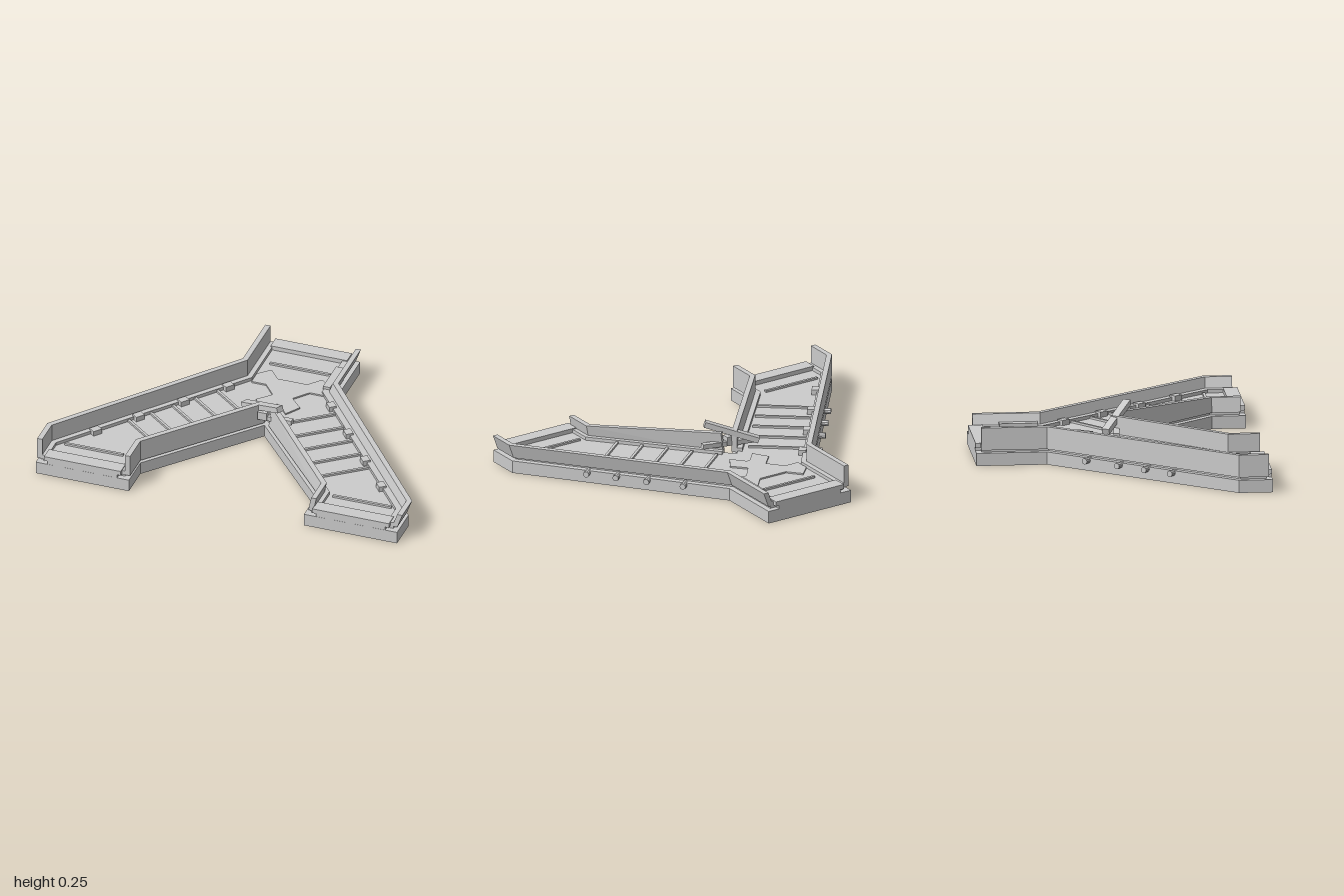
import * as THREE from 'three';

const material = new THREE.MeshStandardMaterial({ color: 0xcccccc, flatShading: true, side: THREE.DoubleSide });

// Footprint corners (x, z), clockwise from the back right
const outline = [
  [0.25, -0.735], [0.25, -0.37], [0.98, 0.555], [0.98, 0.73], [0.47, 0.73], [0.47, 0.555],
  [-0.01, 0], [-0.49, 0.555], [-0.49, 0.73], [-1, 0.73], [-1, 0.555], [-0.26, -0.37], [-0.26, -0.735],
];

// Shift a path inward with mitred corners
function inset(path, distance, closed = false) {
  const n = path.length;
  const normal = (a, b) => {
    const dx = b[0] - a[0], dz = b[1] - a[1], l = Math.hypot(dx, dz);
    return [-dz / l, dx / l];
  };
  return path.map((p, i) => {
    const prev = i > 0 ? path[i - 1] : closed ? path[n - 1] : null;
    const next = i < n - 1 ? path[i + 1] : closed ? path[0] : null;
    const u = prev ? normal(prev, p) : normal(p, next);
    const v = next ? normal(p, next) : u;
    const k = distance / (1 + u[0] * v[0] + u[1] * v[1]);
    return [p[0] + (u[0] + v[0]) * k, p[1] + (u[1] + v[1]) * k];
  });
}

// Flat plate cut from an (x, z) outline
function plate(points, y0, y1) {
  const shape = new THREE.Shape(points.map(([x, z]) => new THREE.Vector2(x, -z)));
  return new THREE.ExtrudeGeometry(shape, { depth: y1 - y0, bevelEnabled: false })
    .rotateX(-Math.PI / 2).translate(0, y0, 0);
}

// Rectangular strip along a path, with a top height per point and a sideways lean
function strip(path, from, to, y0, tops, lean = 0) {
  const outer = inset(path, from), inner = inset(path, to);
  const pos = [], index = [];
  path.forEach((_, i) => {
    const [a, b] = [outer[i], inner[i]];
    pos.push(a[0], y0, a[1], a[0] + lean, tops[i], a[1], b[0] + lean, tops[i], b[1], b[0], y0, b[1]);
  });
  const quad = (a, b, c, d) => index.push(a, b, c, a, c, d);
  for (let i = 0; i < path.length - 1; i++) {
    for (let k = 0; k < 4; k++) {
      const m = (k + 1) % 4, s = i * 4;
      quad(s + k, s + m, s + 4 + m, s + 4 + k);
    }
  }
  const e = (path.length - 1) * 4;
  quad(3, 2, 1, 0);
  quad(e, e + 1, e + 2, e + 3);
  const g = new THREE.BufferGeometry();
  g.setAttribute('position', new THREE.Float32BufferAttribute(pos, 3));
  g.setIndex(index);
  const flat = g.toNonIndexed();
  flat.computeVertexNormals();
  return flat;
}

export function createModel() {
  const model = new THREE.Group();
  const add = (name, geometry) => {
    const mesh = new THREE.Mesh(geometry, material);
    mesh.name = name;
    model.add(mesh);
    return mesh;
  };
  const box = (name, w, h, d, x, y, z, turn = 0) => {
    const mesh = add(name, new THREE.BoxGeometry(w, h, d));
    mesh.position.set(x, y, z);
    mesh.rotation.y = turn;
    return mesh;
  };
  // Square bar between two points
  const bar = (name, a, b, w, h) => {
    const p = new THREE.Vector3(...a), q = new THREE.Vector3(...b);
    const mesh = add(name, new THREE.BoxGeometry(w, h, p.distanceTo(q)));
    mesh.position.copy(p).lerp(q, 0.5);
    mesh.lookAt(q);
    return mesh;
  };

  // Foundation and recessed floor
  add('foundation', plate(outline, 0, 0.067));
  add('floor', plate(inset(outline, 0.03, true), 0.067, 0.087));

  // Walls: tall on the right side of the model, lower and leaning on its left
  const walls = [
    ['leftOuter', [[0.235, -0.71], [0.235, -0.37], [0.972, 0.555], [0.972, 0.705]], [0.16, 0.16, 0.16, 0.16], 0.028],
    ['leftInner', [[0.485, 0.705], [0.485, 0.555], [0.02, 0.02]], [0.16, 0.16, 0.2], 0.015],
    ['rightInner', [[-0.01, 0], [-0.49, 0.555], [-0.49, 0.71]], [0.2, 0.2, 0.2], 0],
    ['rightOuter', [[-1, 0.71], [-1, 0.555], [-0.26, -0.37], [-0.26, -0.71]], [0.2, 0.2, 0.2, 0.2], 0],
  ];
  for (const [name, path, tops, lean] of walls) {
    add(name + 'Wall', strip(path, 0, 0.028, 0.082, tops, lean));
    add(name + 'Kerb', strip(path, 0.02, 0.055, 0.08, tops.map(() => 0.105)));
  }

  // Stepped sills at the three openings
  for (const [x, z, w] of [[-0.745, 0.692, 0.42], [0.725, 0.692, 0.42], [-0.005, -0.698, 0.42]]) {
    box('sillFoot', w - 0.04, 0.02, 0.075, x, 0.077, z);
    box('sill', w, 0.025, 0.075, x, 0.0975, z);
  }

  // Raised crossing plate where the passages meet
  const half = [[0.08, -0.4], [0.14, -0.47], [0.2, -0.41], [0.2, -0.33], [0.12, -0.33],
    [0.055, -0.25], [0.12, -0.18], [0.07, -0.1], [0.01, -0.17]];
  const mirrored = half.map(([x, z]) => [-x, z]).reverse();
  add('crossingPlate', plate([...half, ...mirrored], 0.086, 0.095));
  box('backRib', 0.33, 0.012, 0.014, -0.005, 0.092, -0.53);

  for (const s of [-1, 1]) {
    const cx = -0.01;
    const across = Math.atan2(0.925, 0.735);
    // Floor ribs across each arm
    for (let i = 0; i < 5; i++) {
      const t = 0.04 + i * 0.17;
      box('floorRib', 0.31, 0.012, 0.014, cx + s * (0.2 + t * 0.49), 0.092, -0.13 + t * 0.62,
        s * (Math.PI / 2 - across));
    }
    box('endRib', 0.32, 0.012, 0.014, cx + s * 0.735, 0.092, 0.55);
    // Brackets on the outer kerb
    for (const t of [0.12, 0.35, 0.58, 0.8]) {
      box('kerbBracket', 0.04, 0.03, 0.05, cx + s * (0.195 + 0.735 * t), 0.1, -0.345 + 0.925 * t,
        s * (Math.PI / 2 - across));
    }
    // Round studs on the outer face
    for (const z of [-0.175, -0.02, 0.11, 0.235]) {
      const x = 0.255 + ((z + 0.37) / 0.925) * 0.735;
      const stud = add('sideStud', new THREE.CylinderGeometry(0.016, 0.016, 0.06, 10).rotateZ(Math.PI / 2));
      stud.position.set(cx + s * x, 0.055, z);
      stud.rotation.y = s * (Math.PI / 2 - across);
    }
  }
  box('backKerbBlock', 0.04, 0.04, 0.2, 0.195, 0.1, -0.475);

  // Fallen beams over the inner corner
  bar('tiltedBeam', [-0.14, 0.14, -0.055], [0.105, 0.238, 0.08], 0.04, 0.03);
  bar('crossBeam', [-0.155, 0.12, 0], [0.153, 0.14, 0.03], 0.03, 0.025);
  box('beamBlock', 0.05, 0.045, 0.04, -0.008, 0.145, 0.02);

  return model;
}
